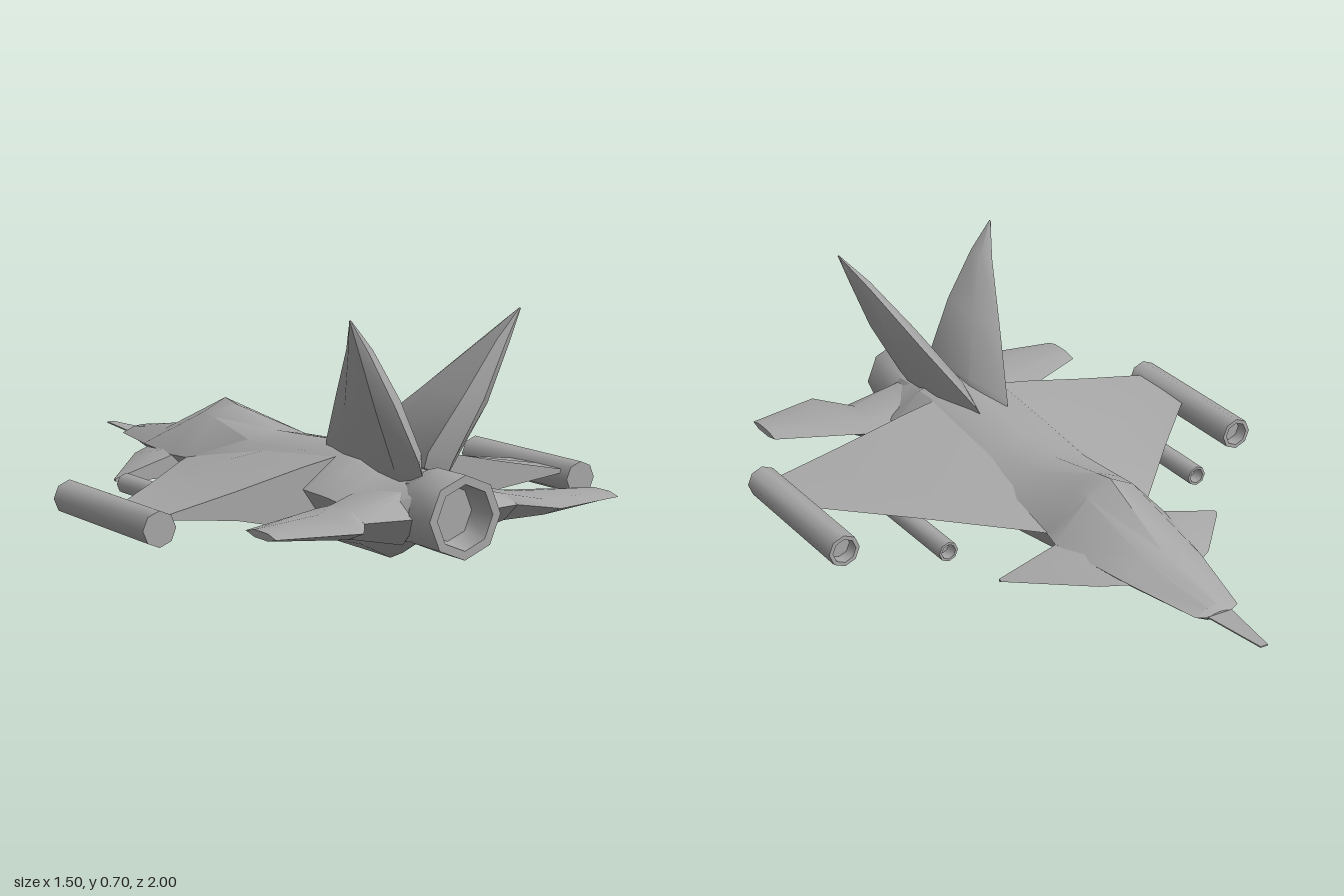
import * as THREE from 'three';
import { toCreasedNormals } from 'three/addons/utils/BufferGeometryUtils.js';

const hull = new THREE.MeshStandardMaterial({ color: 0xa8a8a8 });
hull.name = 'hull grey';

// Skins a row of equal-length rings of [x, y, z] points and caps both ends
function loft(rings, crease = 0.6) {
  const pos = [];
  const tri = (a, b, c) => pos.push(...a, ...b, ...c);
  const n = rings[0].length;
  for (let i = 0; i < rings.length - 1; i++) {
    for (let j = 0; j < n; j++) {
      const k = (j + 1) % n, a = rings[i], b = rings[i + 1];
      tri(a[j], a[k], b[k]);
      tri(a[j], b[k], b[j]);
    }
  }
  const first = rings[0], last = rings[rings.length - 1];
  for (let j = 1; j < n - 1; j++) {
    tri(first[0], first[j + 1], first[j]);
    tri(last[0], last[j], last[j + 1]);
  }
  // Turn the faces outwards if the enclosed volume comes out negative
  let volume = 0;
  const [a, b, c] = [0, 1, 2].map(() => new THREE.Vector3());
  for (let i = 0; i < pos.length; i += 9) {
    a.fromArray(pos, i); b.fromArray(pos, i + 3); c.fromArray(pos, i + 6);
    volume += a.dot(b.cross(c));
  }
  if (volume < 0) {
    for (let i = 0; i < pos.length; i += 9) {
      for (let k = 0; k < 3; k++) [pos[i + 3 + k], pos[i + 6 + k]] = [pos[i + 6 + k], pos[i + 3 + k]];
    }
  }
  const g = new THREE.BufferGeometry();
  g.setAttribute('position', new THREE.Float32BufferAttribute(pos, 3));
  return toCreasedNormals(g, crease);
}

// Eight-sided tube along z from a profile of [radius, z]
function tube(profile) {
  const g = new THREE.LatheGeometry(profile.map(([r, z]) => new THREE.Vector2(r, z)), 8);
  g.rotateX(Math.PI / 2);
  return toCreasedNormals(g, 0.85);
}

export function createModel() {
  const model = new THREE.Group();
  model.name = 'jetFighter';
  const add = (name, geometry) => {
    const mesh = new THREE.Mesh(geometry, hull);
    mesh.name = name;
    model.add(mesh);
    return mesh;
  };
  const addPair = (name, rings) => {
    add('left' + name, loft(rings));
    add('right' + name, loft(rings.map(r => r.map(([x, y, z]) => [-x, y, z]))));
  };

  // Fuselage: z, top, shoulder x y, edge x y, belly x y, bottom
  const body = [
    [-0.797, 0.156, 0.02, 0.154, 0.04, 0.148, 0.02, 0.141, 0.139],
    [-0.78, 0.172, 0.03, 0.168, 0.072, 0.15, 0.03, 0.13, 0.125],
    [-0.52, 0.214, 0.06, 0.2, 0.137, 0.16, 0.07, 0.105, 0.088],
    [-0.25, 0.33, 0.08, 0.29, 0.19, 0.17, 0.1, 0.085, 0.06],
    [-0.18, 0.317, 0.08, 0.285, 0.175, 0.17, 0.1, 0.075, 0.048],
    [0.05, 0.272, 0.1, 0.253, 0.2, 0.175, 0.12, 0.055, 0.01],
    [0.2, 0.28, 0.11, 0.26, 0.22, 0.18, 0.12, 0.05, 0.002],
    [0.56, 0.304, 0.12, 0.284, 0.23, 0.2, 0.12, 0.046, 0],
    [0.65, 0.31, 0.12, 0.28, 0.21, 0.19, 0.1, 0.05, 0],
    [0.71, 0.275, 0.1, 0.255, 0.2, 0.18, 0.09, 0.065, 0.025],
    [0.77, 0.27, 0.085, 0.248, 0.18, 0.172, 0.09, 0.08, 0.06],
    [0.92, 0.255, 0.075, 0.23, 0.105, 0.172, 0.075, 0.1, 0.085],
  ];
  add('fuselage', loft(body.map(([z, t, sx, sy, ex, ey, bx, by, b]) => [
    [0, t, z], [sx, sy, z], [ex, ey, z], [bx, by, z],
    [0, b, z], [-bx, by, z], [-ex, ey, z], [-sx, sy, z],
  ])));

  // Flat nose spike
  add('noseSpike', loft([[-0.78, 0.042], [-1, 0.012]].map(([z, w]) =>
    [[-w, 0.146, z], [w, 0.146, z], [w, 0.15, z], [-w, 0.15, z]])));

  // Blended wings with a blunt trailing edge
  addPair('Wing', [
    [0.1, -0.26, 0.17, 0.2, 0.25, 0.07, 0.286, 0.04],
    [0.23, -0.126, 0.172, 0.17, 0.225, 0.1, 0.262, 0.088],
    [0.44, 0.097, 0.17, 0.33, 0.2, 0.142, 0.216, 0.135],
    [0.66, 0.32, 0.168, 0.44, 0.172, 0.162, 0.172, 0.16],
  ].map(([x, front, y, mid, top, low, rearTop, rearLow]) => [
    [x, y, front], [x, top, mid], [x, rearTop, 0.56], [x, rearLow, 0.56], [x, low, mid],
  ]));

  // Drooping foreplanes
  addPair('Canard', [
    [0.09, -0.55, 0.15, 0.185, 0.09],
    [0.19, -0.48, 0.14, 0.168, 0.098],
    [0.38, -0.262, 0.11, 0.114, 0.106],
  ].map(([x, front, y, top, low]) => {
    const mid = front * 0.4 - 0.25 * 0.6;
    return [[x, y, front], [x, top, mid], [x, top, -0.25], [x, low, -0.25], [x, low, mid]];
  }));

  // Swept tailplanes
  addPair('Tailplane', [
    [0.09, 0.6, 0.92, 0.228, 0.08],
    [0.25, 0.655, 0.895, 0.186, 0.112],
    [0.32, 0.69, 1.0, 0.178, 0.135],
    [0.556, 0.8, 0.95, 0.175, 0.155],
  ].map(([x, front, rear, top, low]) => {
    const at = t => front + (rear - front) * t;
    return [[x, 0.165, front], [x, top, at(0.3)], [x, top, at(0.75)],
      [x, 0.165, rear], [x, low, at(0.75)], [x, low, at(0.3)]];
  }));

  // Thick canted fins: height, centre x, half thickness, front z, rear z
  addPair('Fin', [
    [0.26, 0.04, 0.036, 0.38, 0.86],
    [0.3, 0.055, 0.044, 0.405, 0.865],
    [0.46, 0.143, 0.038, 0.59, 0.88],
    [0.61, 0.221, 0.02, 0.76, 0.87],
    [0.7, 0.275, 0.002, 0.857, 0.862],
  ].map(([y, x, h, front, rear]) => {
    const at = t => front + (rear - front) * t;
    return [[x, y, front], [x - h, y + h * 0.4, at(0.35)], [x - h, y + h * 0.4, at(0.88)],
      [x, y, rear], [x + h, y - h * 0.4, at(0.88)], [x + h, y - h * 0.4, at(0.35)]];
  }));

  // Hollow engine nozzle
  add('nozzle', tube([[0.1, 0.82], [0.115, 0.87], [0.115, 1], [0.09, 1], [0.075, 0.9], [0, 0.9]]
    .reverse())).position.y = 0.173;

  // Wingtip pods and underwing pods, hollow at the nose end
  const pods = [['TipPod', 0.7, 0.147, 0.05, 0.08, 0.6], ['UnderwingPod', 0.44, 0.136, 0.031, -0.07, 0.26]];
  for (const [name, x, y, r, front, rear] of pods) {
    for (const s of [1, -1]) {
      add((s > 0 ? 'left' : 'right') + name, tube([
        [0, front + 0.04], [r * 0.75, front + 0.04], [r * 0.75, front], [r, front], [r, rear], [0, rear],
      ])).position.set(s * x, y, 0);
    }
  }

  // Lathe profiles may run either way, so their surfaces are turned outwards here
  model.traverse(o => {
    if (!/nozzle|Pod/.test(o.name)) return;
    const p = o.geometry.attributes.position, v = [0, 1, 2].map(() => new THREE.Vector3());
    let volume = 0;
    for (let i = 0; i < p.count; i += 3) {
      v.forEach((q, k) => q.fromBufferAttribute(p, i + k));
      volume += v[0].dot(v[1].cross(v[2]));
    }
    if (volume < 0) {
      const index = [];
      for (let i = 0; i < p.count; i += 3) index.push(i, i + 2, i + 1);
      o.geometry.setIndex(index);
      o.geometry = toCreasedNormals(o.geometry, 0.85);
    }
  });
  return model;
}
